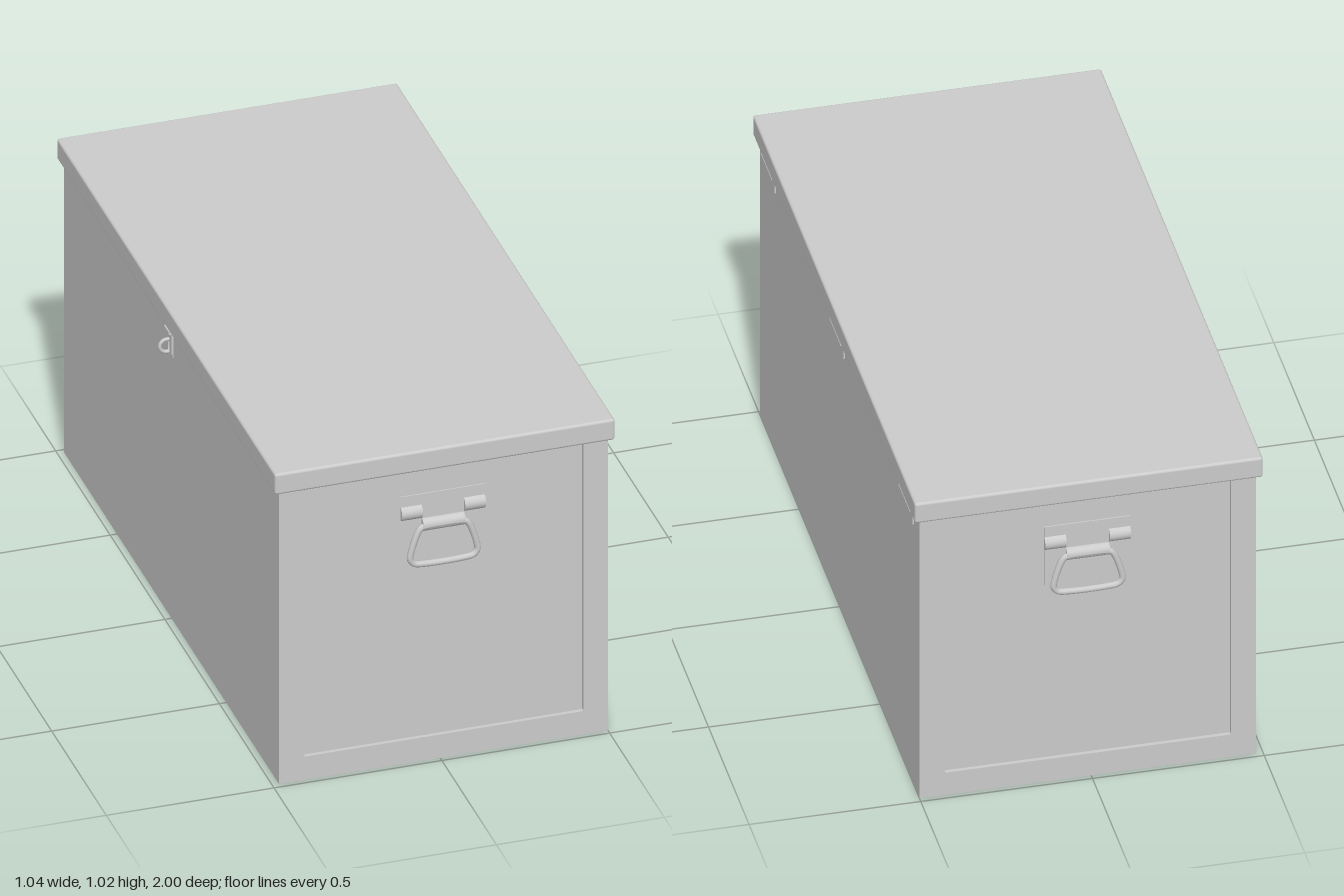
import * as THREE from 'three';
import { RoundedBoxGeometry } from 'three/addons/geometries/RoundedBoxGeometry.js';

const grey = new THREE.MeshStandardMaterial({ color: 0xcccccc });

function add(parent, name, geometry, x = 0, y = 0, z = 0) {
  const mesh = new THREE.Mesh(geometry, grey);
  mesh.name = name;
  mesh.position.set(x, y, z);
  parent.add(mesh);
  return mesh;
}

const box = (w, h, d) => new THREE.BoxGeometry(w, h, d);
const rodX = (r, len) => new THREE.CylinderGeometry(r, r, len, 24).rotateZ(Math.PI / 2);
const rodZ = (r, len) => new THREE.CylinderGeometry(r, r, len, 16).rotateX(Math.PI / 2);

// Raised U-shaped border around the recessed end panel
function endFrameGeometry() {
  const s = new THREE.Shape();
  s.moveTo(-0.49, 0);
  s.lineTo(0.49, 0);
  s.lineTo(0.49, 0.96);
  s.lineTo(0.417, 0.96);
  s.lineTo(0.417, 0.083);
  s.quadraticCurveTo(0.417, 0.077, 0.411, 0.077);
  s.lineTo(-0.411, 0.077);
  s.quadraticCurveTo(-0.417, 0.077, -0.417, 0.083);
  s.lineTo(-0.417, 0.96);
  s.lineTo(-0.49, 0.96);
  return new THREE.ExtrudeGeometry(s, { depth: 0.012, bevelEnabled: false, curveSegments: 4 });
}

// Drop handle: plate, two knuckles, centre barrel and a trapezoid ring
function handle() {
  const g = new THREE.Group();
  g.name = 'carryHandle';
  add(g, 'handlePlate', box(0.25, 0.2, 0.005), 0, 0.77, 0.9745);
  for (const side of [-1, 1]) add(g, 'handleKnuckle', rodX(0.024, 0.062), side * 0.094, 0.814, 0.967);
  add(g, 'handleBarrel', rodX(0.02, 0.125), 0, 0.771, 0.976);
  const half = [[0.05, 0.769], [0.066, 0.766], [0.077, 0.752], [0.098, 0.688], [0.1, 0.668], [0.088, 0.652], [0.055, 0.647]];
  const points = [...half, ...half.map(([x, y]) => [-x, y]).reverse()]
    .map(([x, y]) => new THREE.Vector3(x, y, 0.987));
  const path = new THREE.CatmullRomCurve3(points, true);
  add(g, 'handleRing', new THREE.TubeGeometry(path, 96, 0.0095, 12, true));
  return g;
}

// Hinge on the left wall: leaf and three-part knuckle under the lid
function hinge(z) {
  const g = new THREE.Group();
  g.name = 'hinge';
  add(g, 'hingeLeaf', box(0.005, 0.064, 0.13), 0.4915, 0.928, 0);
  for (const k of [-1, 0, 1]) add(g, 'hingeKnuckle', rodZ(0.007, 0.042), 0.498, 0.948, k * 0.0435);
  g.position.z = z;
  return g;
}

// Hasp on the right wall: hinged strap with rounded end, and a staple
function latch() {
  const g = new THREE.Group();
  g.name = 'latch';
  const s = new THREE.Shape();
  s.moveTo(-0.022, 0.957);
  s.lineTo(-0.022, 0.882);
  s.absarc(0, 0.882, 0.022, Math.PI, 2 * Math.PI, false);
  s.lineTo(0.022, 0.957);
  const slot = new THREE.Path();
  slot.absellipse(0, 0.897, 0.008, 0.027, 0, 2 * Math.PI, true);
  s.holes.push(slot);
  const strap = new THREE.ExtrudeGeometry(s, { depth: 0.005, bevelEnabled: false });
  strap.rotateY(-Math.PI / 2);
  add(g, 'latchStrap', strap, -0.493);
  add(g, 'latchBase', box(0.004, 0.065, 0.04), -0.491, 0.897, 0);
  add(g, 'latchKnuckle', rodZ(0.007, 0.044), -0.499, 0.948, 0);
  const staple = new THREE.TorusGeometry(0.02, 0.0055, 10, 24, Math.PI);
  staple.rotateZ(Math.PI / 2);
  add(g, 'latchStaple', staple, -0.505, 0.897, 0);
  for (const k of [-1, 1]) add(g, 'stapleLeg', rodX(0.0055, 0.016), -0.498, 0.897 + k * 0.02, 0);
  return g;
}

export function createModel() {
  const model = new THREE.Group();
  model.name = 'storageTrunk';
  const trunk = new THREE.Group();
  trunk.name = 'trunk';
  trunk.position.x = 0.01;
  model.add(trunk);

  add(trunk, 'body', box(0.98, 0.96, 1.946), 0, 0.48, 0);
  add(trunk, 'lid', new RoundedBoxGeometry(1.014, 0.068, 2, 3, 0.008), 0, 0.991, 0);

  // Matching ends, front and back
  for (const turn of [0, Math.PI]) {
    const end = new THREE.Group();
    end.name = turn ? 'backEnd' : 'frontEnd';
    add(end, 'endFrame', endFrameGeometry(), 0, 0, 0.973);
    end.add(handle());
    end.rotation.y = turn;
    trunk.add(end);
  }

  for (const z of [-0.85, 0, 0.85]) trunk.add(hinge(z));
  trunk.add(latch());
  return model;
}
